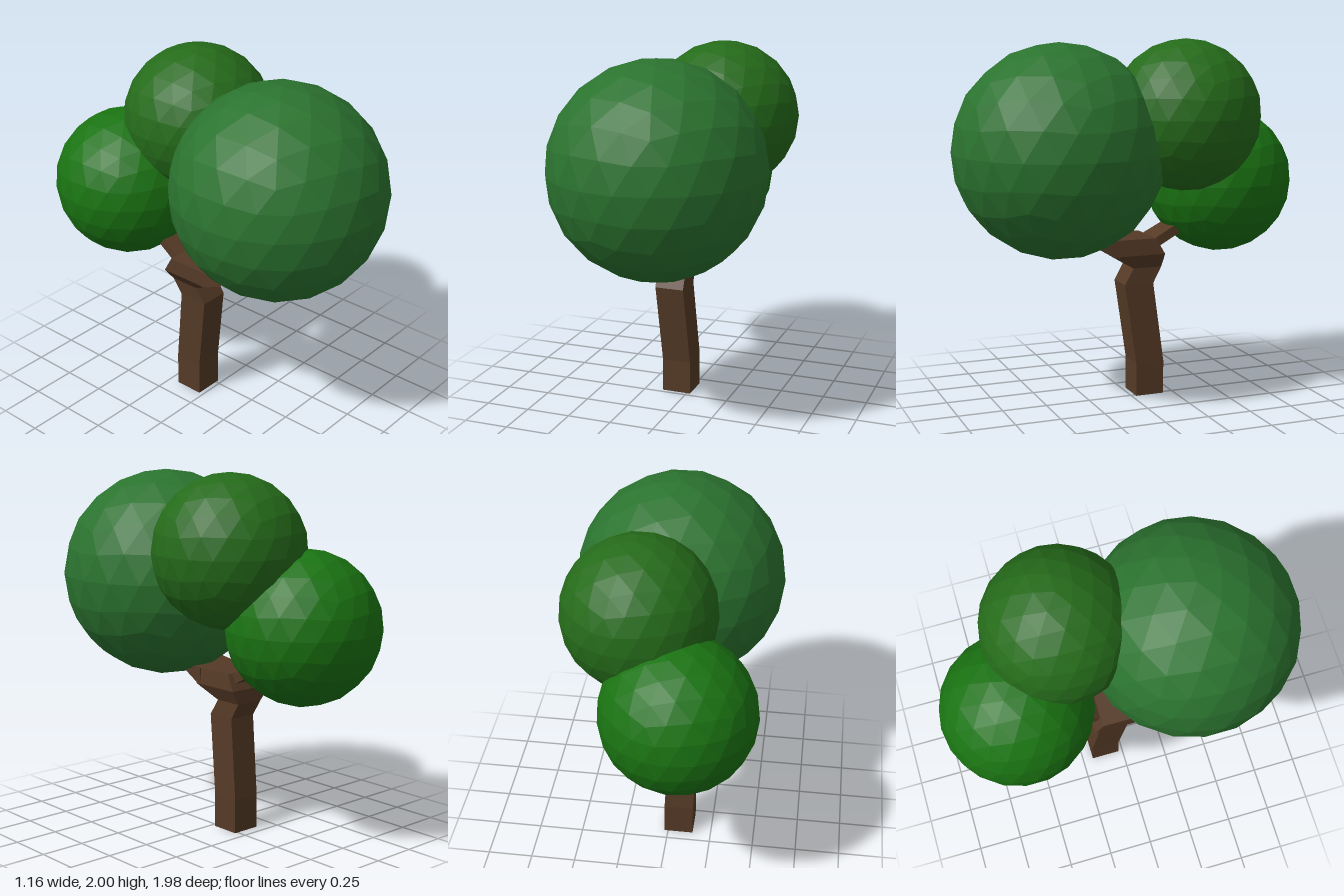
import * as THREE from 'three';

const bark = new THREE.MeshStandardMaterial({ color: 0x553a26, flatShading: true });

// Skins four-cornered rings (counter-clockwise seen from the far end) and caps both ends
function loft(name, rings) {
  const pos = [];
  const quad = (a, b, c, d) => pos.push(...a, ...b, ...c, ...a, ...c, ...d);
  for (let i = 0; i < rings.length - 1; i++) {
    for (let k = 0; k < 4; k++) {
      const n = (k + 1) % 4;
      quad(rings[i][k], rings[i][n], rings[i + 1][n], rings[i + 1][k]);
    }
  }
  const end = rings[rings.length - 1];
  quad(...[...rings[0]].reverse());
  quad(...end);
  const geometry = new THREE.BufferGeometry();
  geometry.setAttribute('position', new THREE.Float32BufferAttribute(pos, 3));
  geometry.computeVertexNormals();
  const mesh = new THREE.Mesh(geometry, bark);
  mesh.name = name;
  return mesh;
}

// Ring lying flat, for upward parts
const level = (y, x0, x1, z0, z1) => [[x0, y, z1], [x1, y, z1], [x1, y, z0], [x0, y, z0]];
// Ring standing upright, for forward parts (swap x0 and x1 and they run backward)
const upright = (z, x0, x1, y0, y1) => [[x0, y0, z], [x1, y0, z], [x1, y1, z], [x0, y1, z]];

// Faceted ball of leaves with a vertex at its top
function foliage(name, color, radius, x, y, z) {
  const geometry = new THREE.IcosahedronGeometry(radius, 3);
  geometry.rotateZ(-Math.atan(2 / (1 + Math.sqrt(5))));
  const mesh = new THREE.Mesh(geometry, new THREE.MeshStandardMaterial({ color, flatShading: true }));
  mesh.name = name;
  mesh.position.set(x, y, z);
  return mesh;
}

export function createModel() {
  const tree = new THREE.Group();
  tree.name = 'tree';

  // Bent square trunk flaring into the fork
  tree.add(loft('trunk', [
    level(0, -0.145, 0.02, -0.19, -0.025),
    level(0.19, -0.145, 0.02, -0.19, -0.025),
    level(0.64, -0.165, 0, -0.135, 0.035),
    level(0.73, -0.175, -0.005, -0.185, -0.02),
    level(0.81, -0.24, 0.04, -0.19, 0.11),
    level(0.9, -0.24, 0.03, -0.14, 0.13),
  ]));

  // Broad branch reaching forward into the large crown
  tree.add(loft('frontBranch', [
    upright(0.08, -0.24, 0.04, 0.8, 0.9),
    upright(0.22, -0.26, 0.03, 0.87, 0.91),
    upright(0.36, -0.2, 0.03, 0.96, 1.04),
  ]));

  // Thin branch reaching back into the low crown
  tree.add(loft('backBranch', [
    upright(-0.12, 0, -0.19, 0.82, 0.88),
    upright(-0.3, 0, -0.17, 0.92, 0.98),
    upright(-0.45, -0.02, -0.15, 1.01, 1.07),
  ]));

  // Crowns
  tree.add(foliage('frontCrown', 0x2b732f, 0.58, 0, 1.405, 0.41));
  tree.add(foliage('upperCrown', 0x256b1a, 0.412, 0.135, 1.59, -0.265));
  tree.add(foliage('backCrown', 0x1a7312, 0.415, -0.105, 1.2, -0.575));
  return tree;
}
